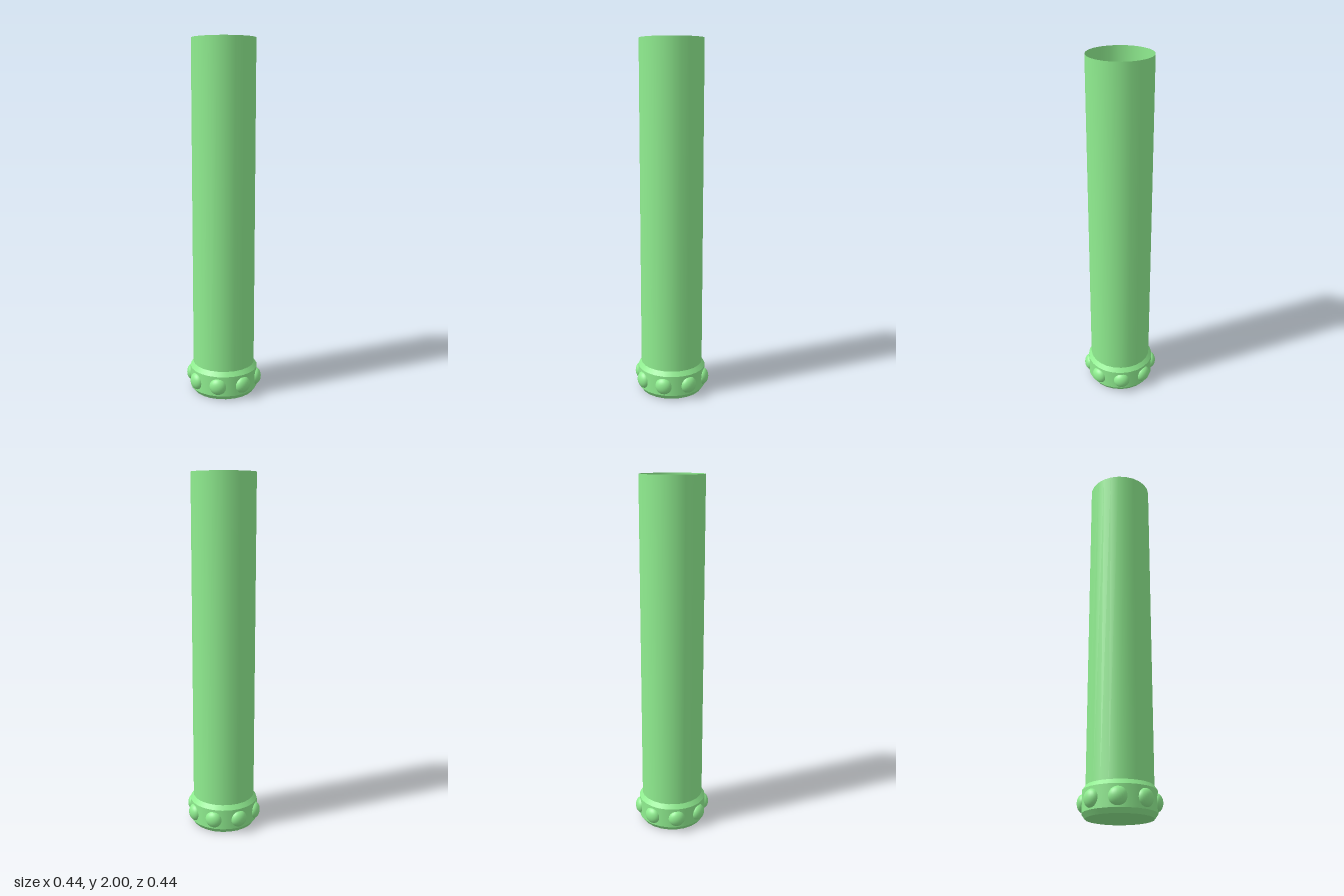
import * as THREE from 'three';

export function createModel() {
  const model = new THREE.Group();
  const material = new THREE.MeshStandardMaterial({ color: 0x90ee90, side: THREE.DoubleSide });
  const SIDES = 24;
  const TUBE_R = 0.177;
  const BAND_R = 0.195;

  function add(name, geometry, parent = model) {
    const mesh = new THREE.Mesh(geometry, material);
    mesh.name = name;
    parent.add(mesh);
    return mesh;
  }

  function ring(name, rTop, rBottom, y0, y1) {
    const g = new THREE.CylinderGeometry(rTop, rBottom, y1 - y0, SIDES, 1, true);
    add(name, g.translate(0, (y0 + y1) / 2, 0));
  }

  // Long tube, open at the top
  ring('tube', TUBE_R, TUBE_R, 0.165, 2);

  // Collar with bevelled rims
  ring('collarUpperBevel', TUBE_R, BAND_R, 0.14, 0.165);
  ring('collarBand', BAND_R, BAND_R, 0.025, 0.14);
  ring('collarLowerBevel', BAND_R, TUBE_R, 0, 0.025);

  // Floor inside the tube and underside of the collar
  const disc = (name, y, tilt) => {
    const g = new THREE.CircleGeometry(TUBE_R, SIDES);
    add(name, g.rotateX(tilt).translate(0, y, 0));
  };
  disc('tubeFloor', 0.165, -Math.PI / 2);
  disc('underside', 0, Math.PI / 2);

  // Eight flattened round studs around the collar
  const studs = new THREE.Group();
  studs.name = 'studs';
  model.add(studs);
  for (let i = 0; i < 8; i++) {
    const g = new THREE.SphereGeometry(1, 24, 16);
    g.scale(0.048, 0.048, 0.034).translate(0, 0.08, 0.186);
    add('stud', g, studs).rotation.y = (i * Math.PI) / 4;
  }

  return model;
}
